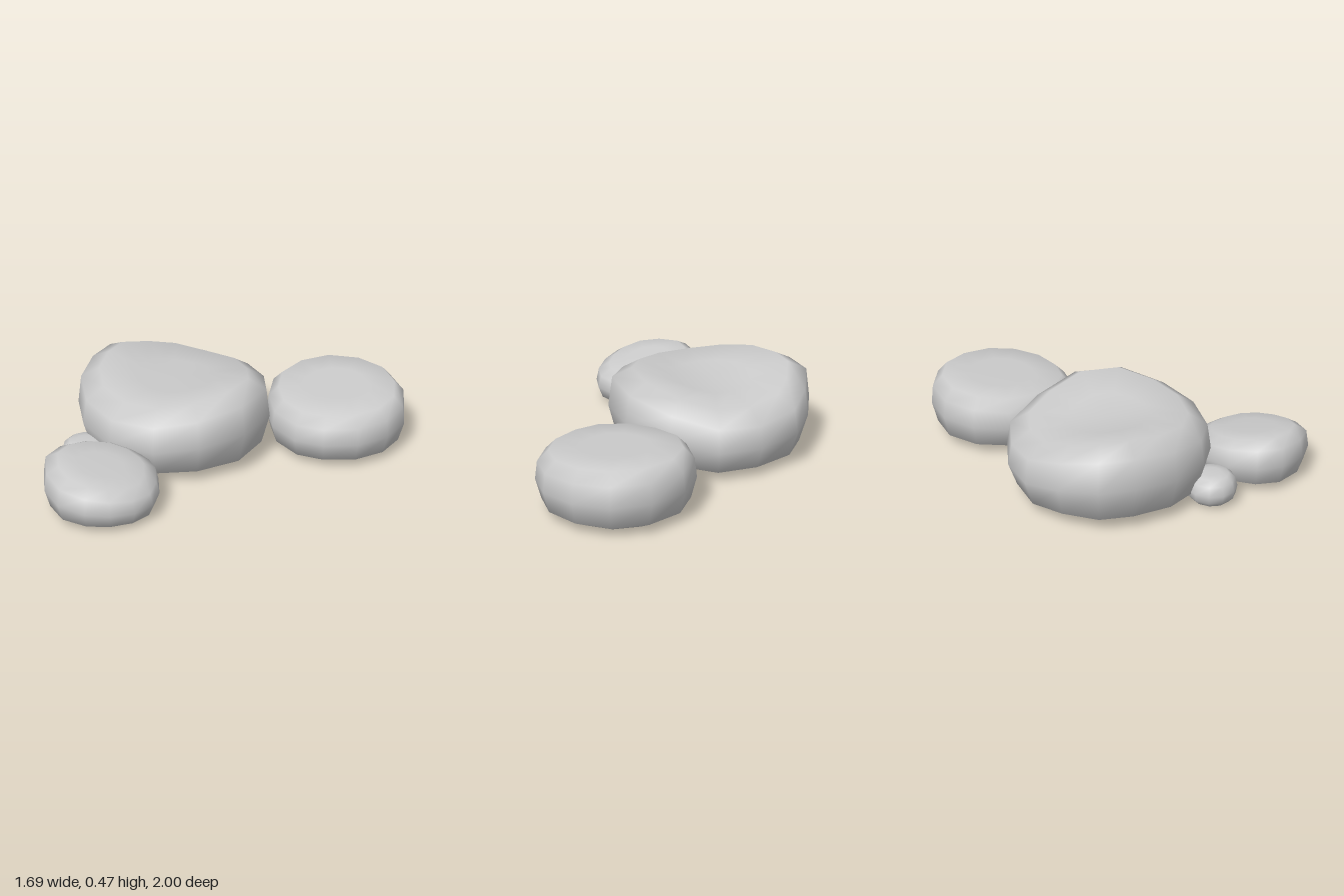
import * as THREE from 'three';
import { mergeVertices } from 'three/addons/utils/BufferGeometryUtils.js';

// Builds a rounded stone by stacking scaled copies of its plan outline.
// outline: [x, z] corners, clockwise seen from above
// profile: [plan scale, fraction of height] from underside to top
// height(u, v): local top height, with u and v running from -1 to 1 over x and z
function stone(name, [cx, cz], radius, outline, profile, height) {
  const positions = [];
  const index = [];
  const n = outline.length;
  profile.forEach(([scale, level], i) => {
    outline.forEach(([x, z], j) => {
      const dx = (x - cx) * scale;
      const dz = (z - cz) * scale;
      positions.push(cx + dx, level * height(dx / radius, dz / radius), cz + dz);
      if (i === profile.length - 1) return;
      const a = i * n + j;
      const b = i * n + (j + 1) % n;
      if (scale > 0) index.push(a, a + n, b);
      if (profile[i + 1][0] > 0) index.push(b, a + n, b + n);
    });
  });
  let geometry = new THREE.BufferGeometry();
  geometry.setAttribute('position', new THREE.Float32BufferAttribute(positions, 3));
  geometry.setIndex(index);
  geometry = mergeVertices(geometry);
  geometry.computeVertexNormals();
  const mesh = new THREE.Mesh(geometry, new THREE.MeshStandardMaterial({ color: 0xcccccc }));
  mesh.name = name;
  return mesh;
}

export function createModel() {
  const group = new THREE.Group();
  group.name = 'steppingStones';

  // Largest stone, with a saddle-shaped top
  group.add(stone('largeStone', [-0.3, -0.09], 0.54,
    [[-0.36, -0.62], [-0.12, -0.61], [0.09, -0.44], [0.24, -0.21], [0.24, 0.06], [0.09, 0.28], [-0.11, 0.42],
      [-0.37, 0.45], [-0.6, 0.37], [-0.76, 0.2], [-0.835, -0.02], [-0.845, -0.21], [-0.74, -0.4], [-0.6, -0.55]],
    [[0, 0], [0.4, 0], [0.7, 0.03], [0.92, 0.15], [1, 0.48], [0.96, 0.8], [0.77, 0.98], [0.4, 1], [0, 1]],
    (u, v) => 0.395 + 0.13 * u * u + 0.03 * v));

  // Flat stone at the back
  group.add(stone('backStone', [0.44, -0.6], 0.4,
    [[0.41, -1], [0.61, -0.965], [0.76, -0.84], [0.845, -0.66], [0.83, -0.48], [0.73, -0.32], [0.57, -0.22],
      [0.41, -0.19], [0.23, -0.26], [0.11, -0.4], [0.04, -0.58], [0.08, -0.78], [0.21, -0.935]],
    [[0, 0], [0.4, 0], [0.7, 0.01], [0.93, 0.16], [1, 0.5], [0.97, 0.8], [0.83, 0.98], [0.45, 1], [0, 0.98]],
    (u, v) => 0.325 - 0.025 * v));

  // Sloping stone at the front
  group.add(stone('frontStone', [-0.24, 0.7], 0.305,
    [[-0.24, 0.4], [-0.12, 0.42], [-0.05, 0.46], [0.03, 0.57], [0.07, 0.69], [0.04, 0.81], [-0.04, 0.91],
      [-0.15, 0.98], [-0.3, 1], [-0.44, 0.93], [-0.545, 0.8], [-0.55, 0.66], [-0.48, 0.52], [-0.37, 0.43]],
    [[0, 0.02], [0.4, 0.02], [0.7, 0.04], [0.92, 0.17], [1, 0.5], [0.95, 0.83], [0.74, 0.98], [0.4, 1], [0, 1]],
    (u, v) => 0.25 - 0.055 * u + 0.015 * v));

  // Small pebble tucked between the large and front stones
  const pebbleOutline = Array.from({ length: 11 }, (_, i) => {
    const angle = (i / 11) * Math.PI * 2;
    return [-0.555 + 0.135 * Math.cos(angle), 0.42 + 0.135 * Math.sin(angle)];
  });
  group.add(stone('pebble', [-0.555, 0.42], 0.135, pebbleOutline,
    [[0, 0.03], [0.4, 0.03], [0.75, 0.09], [0.95, 0.27], [1, 0.52], [0.9, 0.82], [0.66, 0.97], [0.35, 1], [0, 1]],
    () => 0.165));

  return group;
}
